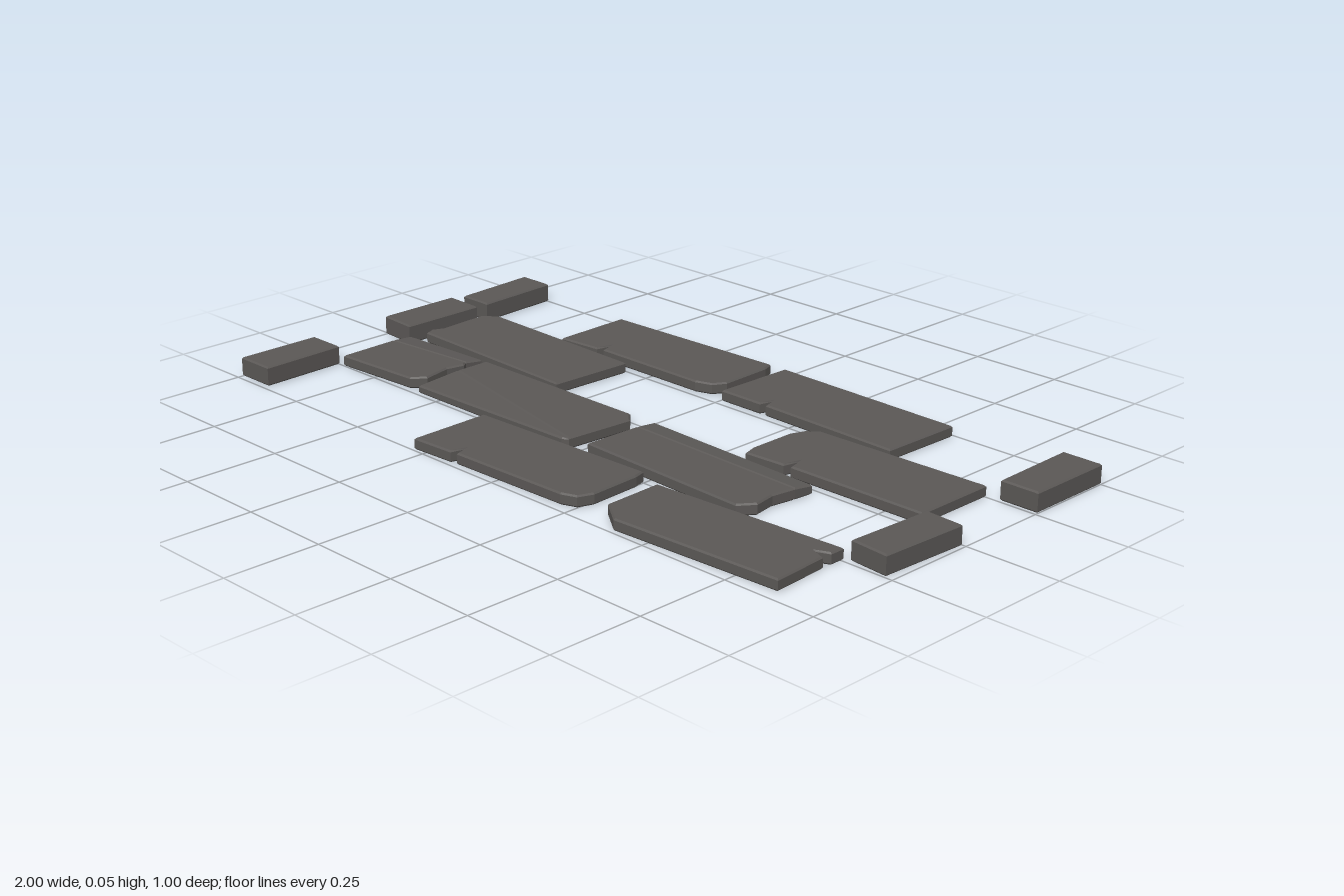
import * as THREE from 'three';

const stone = new THREE.MeshStandardMaterial({ color: 0x5b5856, flatShading: true });
stone.name = 'darkStone';

// Extrudes a plan outline of [x, z] points from the ground with a thin worn edge.
// crease = [x1, z1, x2, z2, slope] tilts the top downward away from that line.
function slab(name, outline, height, crease) {
  const b = 0.004;
  const shape = new THREE.Shape(outline.map(([x, z]) => new THREE.Vector2(x, -z)));
  const geo = new THREE.ExtrudeGeometry(shape, {
    depth: height - 2 * b, bevelEnabled: true, bevelThickness: b,
    bevelSize: b, bevelOffset: -b, bevelSegments: 1,
  });
  geo.rotateX(-Math.PI / 2);
  geo.translate(0, b, 0);
  if (crease) {
    const [x1, z1, x2, z2, slope] = crease;
    const p = geo.attributes.position;
    const len = Math.hypot(x2 - x1, z2 - z1);
    for (let i = 0; i < p.count; i++) {
      if (p.getY(i) < height / 2) continue;
      const d = Math.abs((x2 - x1) * (p.getZ(i) - z1) - (z2 - z1) * (p.getX(i) - x1)) / len;
      p.setY(i, p.getY(i) - slope * d);
    }
    geo.computeVertexNormals();
  }
  const mesh = new THREE.Mesh(geo, stone);
  mesh.name = name;
  return mesh;
}

export function createModel() {
  const model = new THREE.Group();
  model.name = 'stonePaving';
  const H = 0.03, CURB = 0.052;

  // Wide paving slabs with clipped corners and small notches
  const slabs = {
    backLeftSlab: [[0.01, -0.5], [0.57, -0.49], [0.565, -0.26], [0.155, -0.27],
      [0.145, -0.31], [0.135, -0.27], [0.005, -0.27]],
    backRightSlab: [[-0.58, -0.48], [-0.04, -0.5], [-0.03, -0.47], [-0.025, -0.32], [-0.045, -0.285],
      [-0.09, -0.27], [-0.43, -0.27], [-0.44, -0.31], [-0.45, -0.265], [-0.575, -0.255]],
    secondRowRightSlab: [[-0.87, -0.225], [-0.83, -0.255], [-0.315, -0.24], [-0.325, -0.005],
      [-0.865, -0.025], [-0.875, -0.05], [-0.862, -0.08]],
    secondRowLeftSlab: [[0.325, -0.17], [0.34, -0.21], [0.37, -0.235], [0.86, -0.25], [0.86, -0.02],
      [0.47, -0.015], [0.46, -0.06], [0.45, -0.012], [0.335, -0.005], [0.325, -0.04]],
    frontMiddleSlab: [[-0.29, 0.27], [0.25, 0.25], [0.258, 0.28], [0.265, 0.42], [0.25, 0.46],
      [0.21, 0.475], [-0.14, 0.485], [-0.15, 0.445], [-0.16, 0.488], [-0.285, 0.495]],
    frontLeftSlab: [[0.325, 0.28], [0.86, 0.245], [0.86, 0.285], [0.825, 0.3], [0.86, 0.312],
      [0.87, 0.465], [0.4, 0.49], [0.33, 0.44]],
  };
  for (const [name, outline] of Object.entries(slabs)) model.add(slab(name, outline, H));

  // Third row: cracked slabs, each a level part and a part sloping away from the crack
  model.add(
    slab('thirdRowRightSlab', [[-0.88, 0.08], [-0.61, 0.055], [-0.6, 0.07], [-0.61, 0.12],
      [-0.592, 0.2], [-0.62, 0.235], [-0.875, 0.25]], H),
    slab('thirdRowRightChip', [[-0.885, 0.015], [-0.605, 0.005], [-0.61, 0.055], [-0.88, 0.08]], H,
      [-0.88, 0.08, -0.61, 0.055, 0.1]),
    slab('thirdRowMiddleSlab', [[-0.578, 0.012], [-0.04, 0.01], [-0.01, 0.04], [-0.025, 0.23],
      [-0.578, 0.11]], H),
    slab('thirdRowMiddleChip', [[-0.578, 0.11], [-0.025, 0.23], [-0.04, 0.24], [-0.578, 0.24]], H,
      [-0.578, 0.11, -0.025, 0.23, 0.07]),
    slab('thirdRowLeftSlab', [[0.035, 0.06], [0.565, 0.075], [0.555, 0.14], [0.565, 0.2],
      [0.535, 0.24], [0.03, 0.22]], H),
    slab('thirdRowLeftChip', [[0.035, 0], [0.57, 0.022], [0.565, 0.075], [0.035, 0.06]], H,
      [0.035, 0.06, 0.565, 0.075, 0.1]),
  );

  // Taller narrow border stones along both ends
  const borders = [
    [[-1, -0.5], [-0.9, -0.5], [-0.888, -0.26], [-0.985, -0.26]],
    [[-1, -0.228], [-0.89, -0.225], [-0.89, 0.015], [-1, 0.008]],
    [[-1, 0.25], [-0.895, 0.25], [-0.888, 0.485], [-1, 0.485]],
    [[0.89, -0.5], [1, -0.5], [1, -0.257], [0.895, -0.257]],
    [[0.888, 0], [0.992, 0.005], [0.98, 0.247], [0.875, 0.238]],
  ];
  borders.forEach((outline, i) => model.add(slab('borderStone' + (i + 1), outline, CURB)));

  return model;
}
